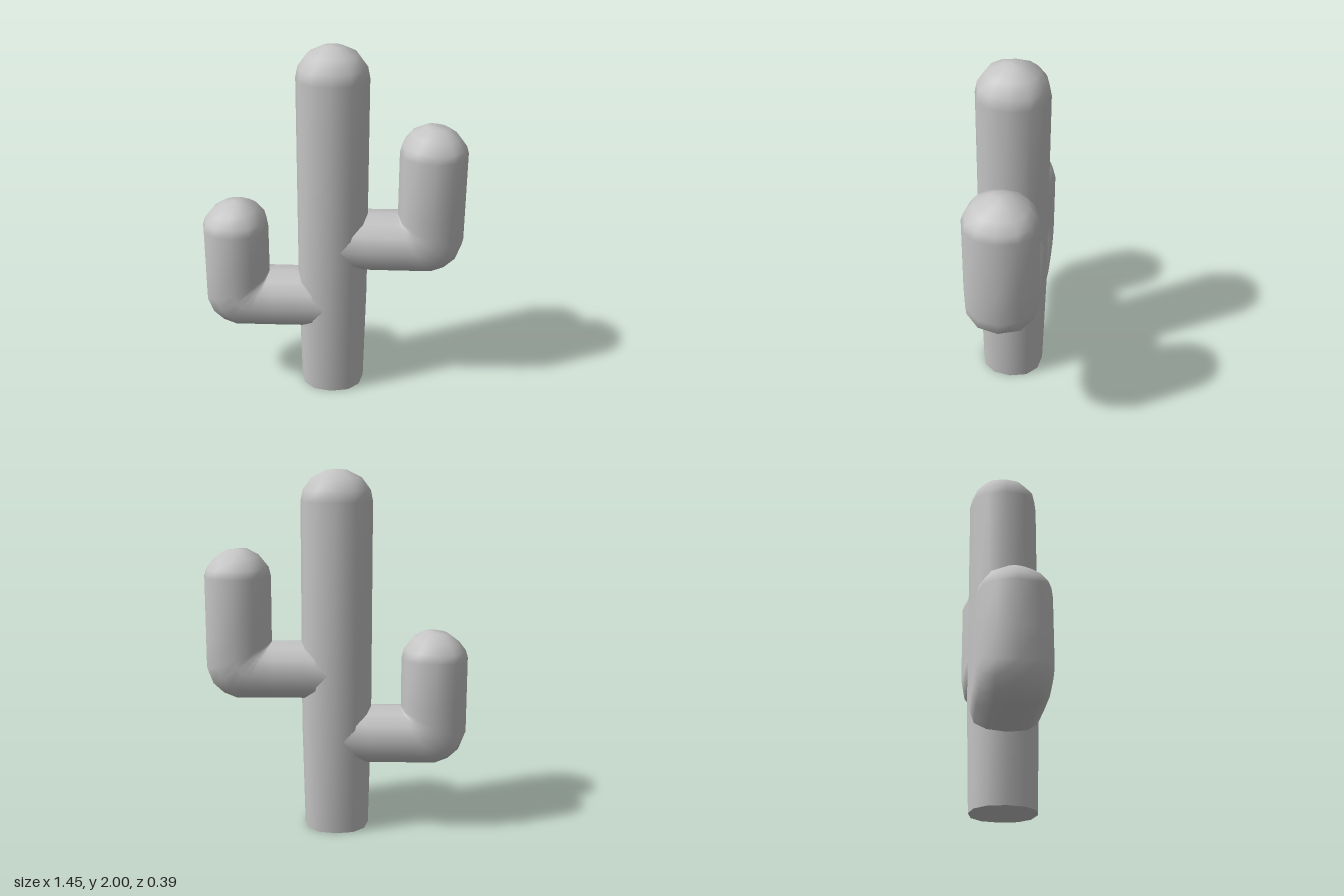
import * as THREE from 'three';

const SIDES = 12;
const cactusGrey = new THREE.MeshStandardMaterial({ color: 0xc4c4c4 });
cactusGrey.name = 'cactusGrey';

// Slightly squared circle for the stem section
const squarish = (v) => Math.sign(v) * Math.pow(Math.abs(v), 0.88);

// Skin through rings; each ring is [innerX, innerY, outerX, outerY, halfDepth]
function stem(name, rings) {
  const pos = [], index = [];
  for (const [ix, iy, ox, oy, w] of rings) {
    for (let i = 0; i < SIDES; i++) {
      const a = (i / SIDES) * Math.PI * 2;
      const c = squarish(Math.cos(a)), s = squarish(Math.sin(a));
      pos.push((ix + ox) / 2 + (c * (ox - ix)) / 2, (iy + oy) / 2 + (c * (oy - iy)) / 2, s * w);
    }
  }
  for (let r = 0; r < rings.length - 1; r++) {
    for (let i = 0; i < SIDES; i++) {
      const a = r * SIDES + i, b = r * SIDES + ((i + 1) % SIDES);
      index.push(a, a + SIDES, b, b, a + SIDES, b + SIDES);
    }
  }
  const geo = new THREE.BufferGeometry();
  geo.setAttribute('position', new THREE.Float32BufferAttribute(pos, 3));
  geo.setIndex(index);
  geo.computeVertexNormals();
  const mesh = new THREE.Mesh(geo, cactusGrey);
  mesh.name = name;
  return mesh;
}

const level = (r, y) => [-r, y, r, y, r];

// Arm leaving the trunk along +x, bending up around its inner corner
function arm(name, bottom, top) {
  const inX = 0.36, inY = bottom + 0.315, outX = 0.727;
  const rings = [
    [0, inY, 0, bottom, 0.18],
    [0.18, inY, 0.18, bottom, 0.192],
    [0.34, inY, 0.34, bottom, 0.195],
  ];
  // Elbow fan
  for (const [x, y] of [[0.56, 0], [0.635, 0.03], [0.695, 0.085], [outX, 0.17]]) {
    rings.push([inX, inY, x, bottom + y, 0.195]);
  }
  // Upright and rounded tip
  rings.push([inX, inY + 0.04, outX, inY + 0.04, 0.195]);
  rings.push([inX, top - 0.15, outX, top - 0.15, 0.195]);
  rings.push([inX + 0.012, top - 0.1, outX - 0.012, top - 0.11, 0.18]);
  rings.push([inX + 0.06, top - 0.04, outX - 0.05, top - 0.06, 0.14]);
  rings.push([inX + 0.13, top, outX - 0.11, top - 0.015, 0.06]);
  rings.push([0.54, top - 0.003, 0.54, top - 0.003, 0]);
  return stem(name, rings);
}

export function createModel() {
  const cactus = new THREE.Group();
  cactus.name = 'cactus';

  cactus.add(stem('trunk', [
    level(0.18, 0), level(0.194, 0.6), level(0.195, 1.83), level(0.183, 1.89),
    level(0.135, 1.955), level(0.055, 1.995), level(0, 2),
  ]));
  cactus.add(stem('trunkBase', [level(0, 0), level(0.18, 0)]));

  cactus.add(arm('leftArm', 0.745, 1.575));
  const rightArm = arm('rightArm', 0.378, 1.125);
  rightArm.rotation.y = Math.PI;
  cactus.add(rightArm);
  return cactus;
}
